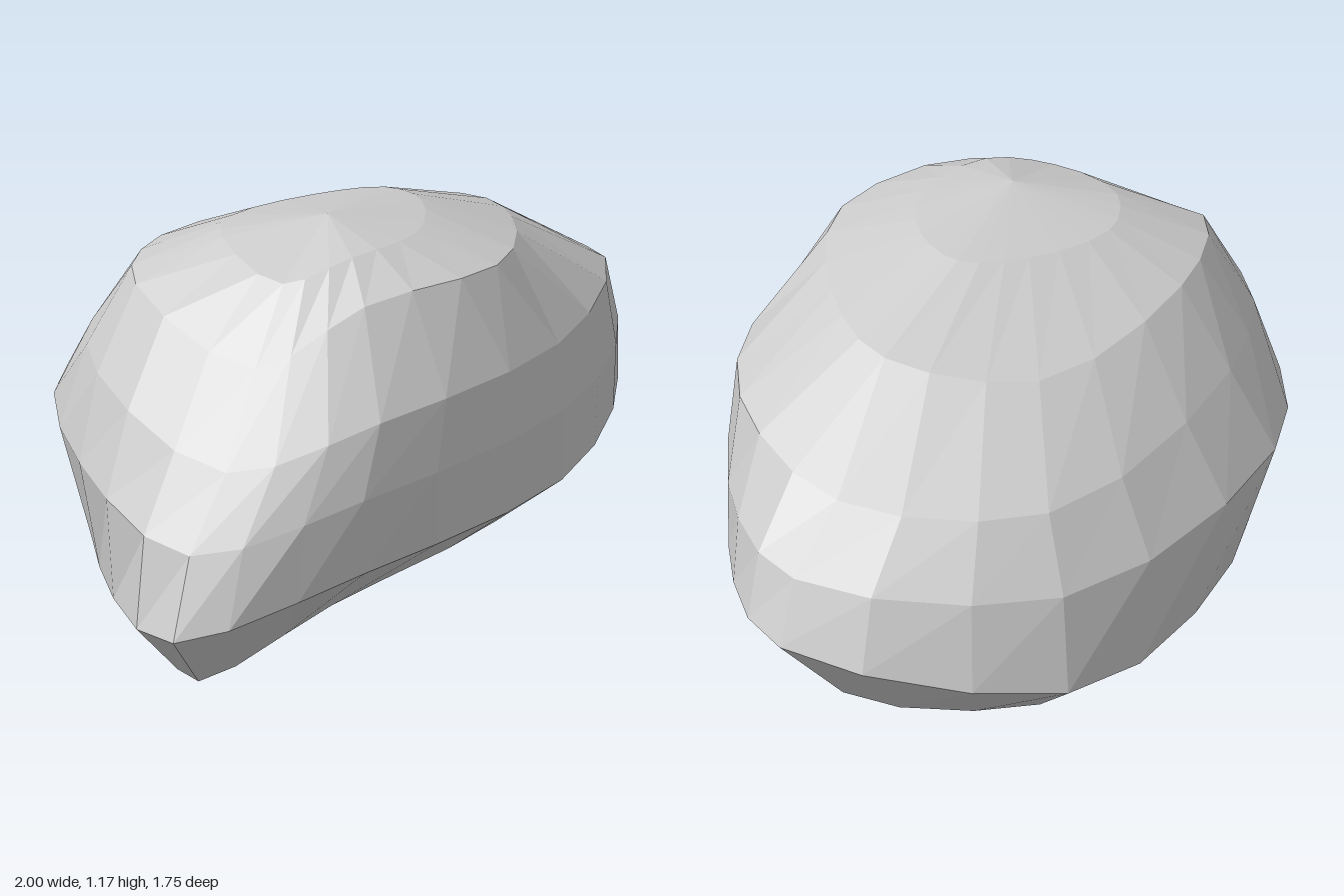
import * as THREE from 'three';

const SIDES = 24;

// Cross-section loops from the base up; each runs front tip, front, front left,
// left, back left tip, back, back right, right
const LOOPS = [
  // rim of the tilted underside
  [[-0.81, 0.0, 0.62], [-0.36, 0.13, 0.58], [0.24, 0.22, 0.44], [0.61, 0.2, 0.03],
   [0.76, 0.12, -0.42], [0.25, 0.045, -0.64], [-0.34, 0.04, -0.33], [-0.68, 0.02, 0.18]],
  // widest band
  [[-0.97, 0.19, 0.76], [-0.4, 0.32, 0.84], [0.36, 0.38, 0.61], [0.86, 0.4, 0.04],
   [0.99, 0.34, -0.46], [0.3, 0.2, -0.88], [-0.5, 0.2, -0.43], [-0.87, 0.2, 0.16]],
  // steep wall
  [[-0.89, 0.42, 0.71], [-0.42, 0.55, 0.87], [0.36, 0.6, 0.63], [0.85, 0.59, 0.06],
   [0.92, 0.52, -0.42], [0.28, 0.47, -0.82], [-0.61, 0.55, -0.48], [-0.94, 0.53, 0.17]],
  // crease above the wall
  [[-0.75, 0.63, 0.67], [-0.35, 0.76, 0.84], [0.34, 0.8, 0.63], [0.77, 0.81, 0.13],
   [0.75, 0.7, -0.37], [0.25, 0.67, -0.69], [-0.53, 0.77, -0.37], [-0.86, 0.77, 0.13]],
  // shoulder
  [[-0.6, 0.88, 0.57], [-0.3, 1.04, 0.66], [0.17, 1.05, 0.58], [0.43, 1.02, 0.2],
   [0.46, 0.97, -0.14], [0.11, 0.92, -0.4], [-0.46, 0.99, -0.22], [-0.72, 1.0, 0.1]],
  // crown
  [[-0.45, 1.07, 0.46], [-0.25, 1.125, 0.5], [0.0, 1.125, 0.42], [0.14, 1.125, 0.2],
   [0.12, 1.11, 0.03], [-0.07, 1.1, -0.04], [-0.35, 1.1, -0.01], [-0.47, 1.11, 0.15]],
];
const APEX = [-0.2, 1.17, 0.27];
const UNDERSIDE = [0.0, 0.1, 0.0];

function rockGeometry() {
  const positions = [];
  const index = [];
  for (const loop of LOOPS) {
    const curve = new THREE.CatmullRomCurve3(loop.map((p) => new THREE.Vector3(...p)), true);
    for (let j = 0; j < SIDES; j++) {
      const p = curve.getPoint(j / SIDES);
      positions.push(p.x, Math.max(p.y, 0), p.z);
    }
  }
  const apex = positions.length / 3;
  positions.push(...APEX, ...UNDERSIDE);
  const top = (LOOPS.length - 1) * SIDES;

  for (let j = 0; j < SIDES; j++) {
    const k = (j + 1) % SIDES;
    // faceted sides
    for (let row = 0; row < top; row += SIDES) {
      const a = row + j, b = row + k;
      index.push(a, b, b + SIDES, a, b + SIDES, a + SIDES);
    }
    // crown and underside fans
    index.push(top + j, top + k, apex, k, j, apex + 1);
  }

  const geometry = new THREE.BufferGeometry();
  geometry.setAttribute('position', new THREE.Float32BufferAttribute(positions, 3));
  geometry.setIndex(index);
  const faceted = geometry.toNonIndexed();
  faceted.computeVertexNormals();
  return faceted;
}

export function createModel() {
  const model = new THREE.Group();
  model.name = 'boulder';
  const material = new THREE.MeshStandardMaterial({ color: 0xcccccc, flatShading: true });
  const rock = new THREE.Mesh(rockGeometry(), material);
  rock.name = 'rock';
  model.add(rock);
  return model;
}
